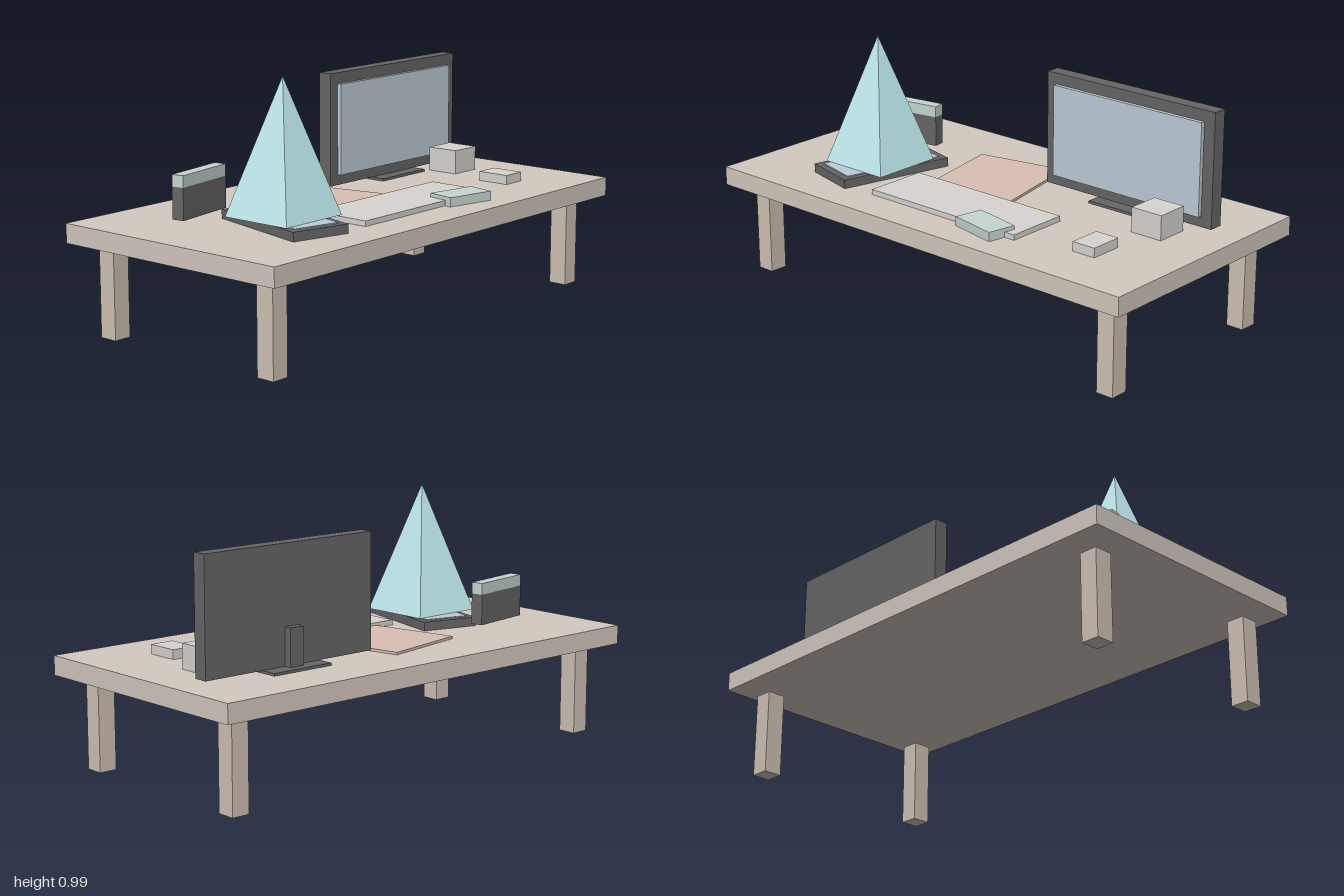
import * as THREE from 'three';

const mat = (color) => new THREE.MeshStandardMaterial({ color, flatShading: true });
const wood = mat(0xd3c9bf), legWood = mat(0xcfc2b6), dark = mat(0x666666), glass = mat(0xc0ccd8);
const aqua = mat(0xc0e9ed), pink = mat(0xdabfb6), sage = mat(0xc6d6d0), pale = mat(0xd8d5d0);

const TOP = 0.435; // height of the desk surface

export function createModel() {
  const model = new THREE.Group();
  model.name = 'desk';

  // Box from its centre in plan, its bottom height, its size and its turn
  const box = (name, material, [x, y, z], [w, h, d], turn = 0, parent = model) => {
    const mesh = new THREE.Mesh(new THREE.BoxGeometry(w, h, d), material);
    mesh.name = name;
    mesh.position.set(x, y + h / 2, z);
    mesh.rotation.y = turn;
    parent.add(mesh);
    return mesh;
  };

  // Table
  box('tabletop', wood, [0, 0.36, 0], [2, 0.075, 1.03]);
  for (const sx of [-1, 1])
    for (const sz of [-1, 1])
      box(`${sz > 0 ? 'front' : 'back'}${sx > 0 ? 'Left' : 'Right'}Leg`, legWood,
        [sx * 0.88, 0, sz * 0.393], [0.073, 0.335, 0.075]);

  // Monitor on its stand
  const monitor = new THREE.Group();
  monitor.name = 'monitor';
  model.add(monitor);
  box('monitorCase', dark, [0.485, 0.445, -0.211], [0.785, 0.45, 0.058], 0, monitor);
  box('monitorScreen', glass, [0.483, 0.487, -0.1735], [0.695, 0.364, 0.017], 0, monitor);
  box('standFoot', dark, [0.483, TOP, -0.215], [0.27, 0.01, 0.18], 0, monitor);
  box('standNeck', dark, [0.483, 0.444, -0.255], [0.062, 0.147, 0.032], 0, monitor);

  // Tablet with a pyramid standing on it
  box('tabletBody', dark, [-0.515, TOP, 0.12], [0.237, 0.035, 0.475], -0.25);
  box('tabletScreen', glass, [-0.515, 0.469, 0.12], [0.187, 0.005, 0.42], -0.25);
  const pyramid = new THREE.Mesh(
    new THREE.ConeGeometry(0.3 / Math.SQRT2, 0.512, 4, 1).rotateY(Math.PI / 4), aqua);
  pyramid.name = 'pyramid';
  pyramid.position.set(-0.52, 0.473 + 0.256, 0.122);
  model.add(pyramid);

  // Slim holder with a pale top
  box('holderBody', dark, [-0.64, 0.458, -0.185], [0.27, 0.122, 0.049], 0.16);
  box('holderTop', sage, [-0.64, 0.58, -0.185], [0.27, 0.045, 0.049], 0.16);

  // Things lying on the desk
  box('paper', pink, [-0.085, TOP, -0.042], [0.375, 0.01, 0.52], 0.2);
  box('keyboard', pale, [0.028, TOP, 0.225], [0.725, 0.021, 0.26]);
  box('notepad', sage, [0.243, TOP, 0.348], [0.205, 0.036, 0.117], -0.2);
  box('mouse', pale, [0.665, TOP, 0.227], [0.1, 0.037, 0.135]);
  box('cube', pale, [0.723, TOP, -0.061], [0.135, 0.097, 0.135]);

  return model;
}
